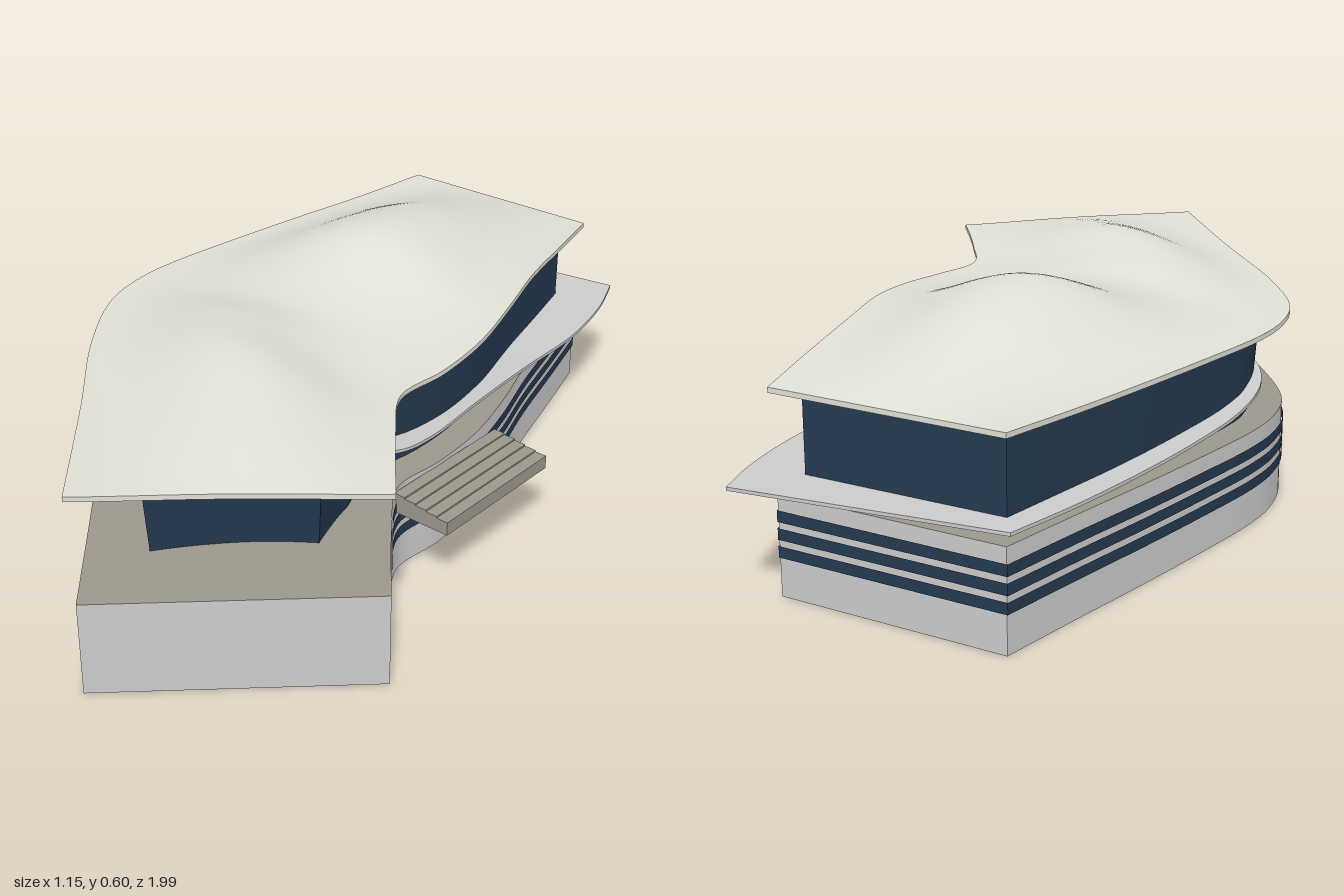
import * as THREE from 'three';
import { mergeVertices, toCreasedNormals } from 'three/addons/utils/BufferGeometryUtils.js';

const material = (color) => new THREE.MeshStandardMaterial({ color, side: THREE.DoubleSide });

// Cross rows from back to front: left edge x,y,z / right edge x,y,z / crown height
const ROOF = [
  [-0.39, 0.465, -0.95, 0.18, 0.465, -0.915, 0],
  [-0.44, 0.46, -0.72, 0.225, 0.482, -0.7, 0.052],
  [-0.49, 0.46, -0.5, 0.27, 0.497, -0.48, 0.1],
  [-0.535, 0.46, -0.28, 0.32, 0.5, -0.28, 0.115],
  [-0.57, 0.46, -0.08, 0.35, 0.488, -0.1, 0.064],
  [-0.575, 0.462, 0.05, 0.35, 0.478, 0.06, 0.046],
  [-0.545, 0.464, 0.2, 0.335, 0.477, 0.21, 0.07],
  [-0.42, 0.47, 0.41, 0.42, 0.484, 0.36, 0.088],
  [-0.2, 0.482, 0.68, 0.49, 0.488, 0.465, 0.055],
  [0.05, 0.5, 0.995, 0.57, 0.488, 0.58, 0.004],
];

const TERRACE = [
  [-0.395, 0.264, -0.945, 0.24, 0.264, -0.99, 0],
  [-0.44, 0.263, -0.75, 0.28, 0.263, -0.85, 0],
  [-0.48, 0.264, -0.53, 0.305, 0.263, -0.65, 0],
  [-0.515, 0.27, -0.3, 0.298, 0.266, -0.42, 0],
  [-0.535, 0.28, -0.1, 0.305, 0.277, -0.18, 0],
  [-0.525, 0.295, 0.06, 0.32, 0.292, 0.06, 0],
  [-0.485, 0.307, 0.17, 0.31, 0.305, 0.17, 0],
  [-0.42, 0.318, 0.26, 0.25, 0.318, 0.26, 0],
];

// Returns a function (row, s) giving a point on the lofted, crowned surface
function loft(rows) {
  const curve = (pick) => new THREE.CatmullRomCurve3(rows.map(pick));
  const left = curve((r) => new THREE.Vector3(r[0], r[1], r[2]));
  const right = curve((r) => new THREE.Vector3(r[3], r[4], r[5]));
  const crown = curve((r, i) => new THREE.Vector3(i, r[6], 0));
  return (row, s) => {
    const t = row / (rows.length - 1);
    const p = left.getPoint(t).lerp(right.getPoint(t), s);
    p.y += crown.getPoint(t).y * Math.sin(Math.PI * s) ** 2;
    return p;
  };
}

function geometryFrom(points, index, crease) {
  const g = new THREE.BufferGeometry().setFromPoints(points);
  g.setIndex(index);
  return toCreasedNormals(mergeVertices(g, 1e-5), crease);
}

// Closed thin shell following a lofted surface
function shell(surface, rowCount, thickness, nv, nu) {
  const pts = [], index = [];
  const size = (nv + 1) * (nu + 1);
  for (const drop of [0, thickness])
    for (let j = 0; j <= nv; j++)
      for (let i = 0; i <= nu; i++) {
        const p = surface((j / nv) * (rowCount - 1), i / nu);
        p.y -= drop;
        pts.push(p);
      }
  const id = (j, i) => j * (nu + 1) + i;
  const quad = (a, b, c, d) => index.push(a, b, c, a, c, d);
  for (let j = 0; j < nv; j++)
    for (let i = 0; i < nu; i++) {
      const [a, b, c, d] = [id(j, i), id(j + 1, i), id(j + 1, i + 1), id(j, i + 1)];
      quad(a, b, c, d);
      quad(a + size, d + size, c + size, b + size);
    }
  const edge = (a, b) => quad(a, a + size, b + size, b);
  for (let j = 0; j < nv; j++) {
    edge(id(j, 0), id(j + 1, 0));
    edge(id(j + 1, nu), id(j, nu));
  }
  for (let i = 0; i < nu; i++) {
    edge(id(nv, i), id(nv, i + 1));
    edge(id(0, i + 1), id(0, i));
  }
  return geometryFrom(pts, index, 0.7);
}

// Wall ribbon between a lower and an upper path
function ribbon(low, high, closed) {
  const n = low.length, index = [];
  for (let i = 0; i < (closed ? n : n - 1); i++) {
    const k = (i + 1) % n;
    index.push(i, k, n + k, i, n + k, n + i);
  }
  return geometryFrom([...low, ...high], index, 0.5);
}

const atHeight = (path, y, sx = 1, sz = 1) =>
  path.map((p) => new THREE.Vector3(p.x * sx, y, p.z * sz));

export function createModel() {
  const model = new THREE.Group();
  const add = (name, geometry, mat, parent = model) => {
    const mesh = new THREE.Mesh(geometry, mat);
    mesh.name = name;
    parent.add(mesh);
    return mesh;
  };
  const grey = material(0xcccccc);
  const roofMat = material(0xe0e0d6);
  const glassMat = material(0x24394f);
  const deckMat = material(0x9c978c);

  // Undulating roof and the thin sloping terrace around the glazing
  const roofAt = loft(ROOF);
  add('roof', shell(roofAt, ROOF.length, 0.012, 72, 40), roofMat);
  add('terrace', shell(loft(TERRACE), TERRACE.length, 0.008, 48, 8), grey);

  // Base: open-bottomed plinth with a deck on top
  const outline = [];
  const steps = 90, last = ROOF.length - 1;
  for (let i = 0; i <= steps; i++) outline.push(roofAt(last * (1 - i / steps), 1));
  for (let i = 0; i <= steps; i++) outline.push(roofAt(last * (i / steps), 0));
  const plan = atHeight(outline, 0, 0.98, 0.987);
  add('baseWall', ribbon(plan, atHeight(plan, 0.23), true), grey);
  const deckShape = new THREE.Shape(plan.map((p) => new THREE.Vector2(p.x, -p.z)));
  const deck = new THREE.ShapeGeometry(deckShape).rotateX(-Math.PI / 2).translate(0, 0.23, 0);
  add('deck', deck, deckMat);

  // Three window bands around the rear of the base
  const rear = plan.filter((p) => p.z < 0.345);
  for (const y of [0.089, 0.129, 0.169])
    add('windowBand', ribbon(atHeight(rear, y, 1.008, 1.003), atHeight(rear, y + 0.026, 1.008, 1.003), false), glassMat);

  // Glazed storey: path in (row, s) under the roof, leaning out at the front
  const corners = [[8.1, 0.78], [7, 0.86], [6, 0.91], [3, 0.92], [0.3, 0.91],
    [0.3, 0.09], [3, 0.085], [6, 0.085], [7.5, 0.13], [8.5, 0.2]];
  const top = [];
  corners.forEach(([r, s], i) => {
    const [r2, s2] = corners[(i + 1) % corners.length];
    for (let k = 0; k < 14; k++) {
      const p = roofAt(r + ((r2 - r) * k) / 14, s + ((s2 - s) * k) / 14);
      p.y -= 0.006;
      top.push(p);
    }
  });
  const foot = top.map((p) => {
    const k = THREE.MathUtils.clamp(p.z / 0.6, 0, 1);
    return new THREE.Vector3(p.x * (1 - 0.1 * k), 0.23, p.z - 0.03 * k);
  });
  add('glazing', ribbon(foot, top, true), glassMat);

  // Side stairs: slab with shallow treads rising towards the building
  const stairs = new THREE.Group();
  stairs.name = 'sideStairs';
  stairs.position.set(0.421, 0, 0.035);
  stairs.rotation.y = -0.085;
  model.add(stairs);
  add('stairSlab', new THREE.BoxGeometry(0.155, 0.03, 0.39), deckMat, stairs).position.y = 0.185;
  for (let i = 0; i < 5; i++) {
    const h = 0.004 * (i + 1);
    const tread = add('tread', new THREE.BoxGeometry(0.031, h, 0.39), deckMat, stairs);
    tread.position.set(0.062 - i * 0.031, 0.2 + h / 2, 0);
  }
  return model;
}
